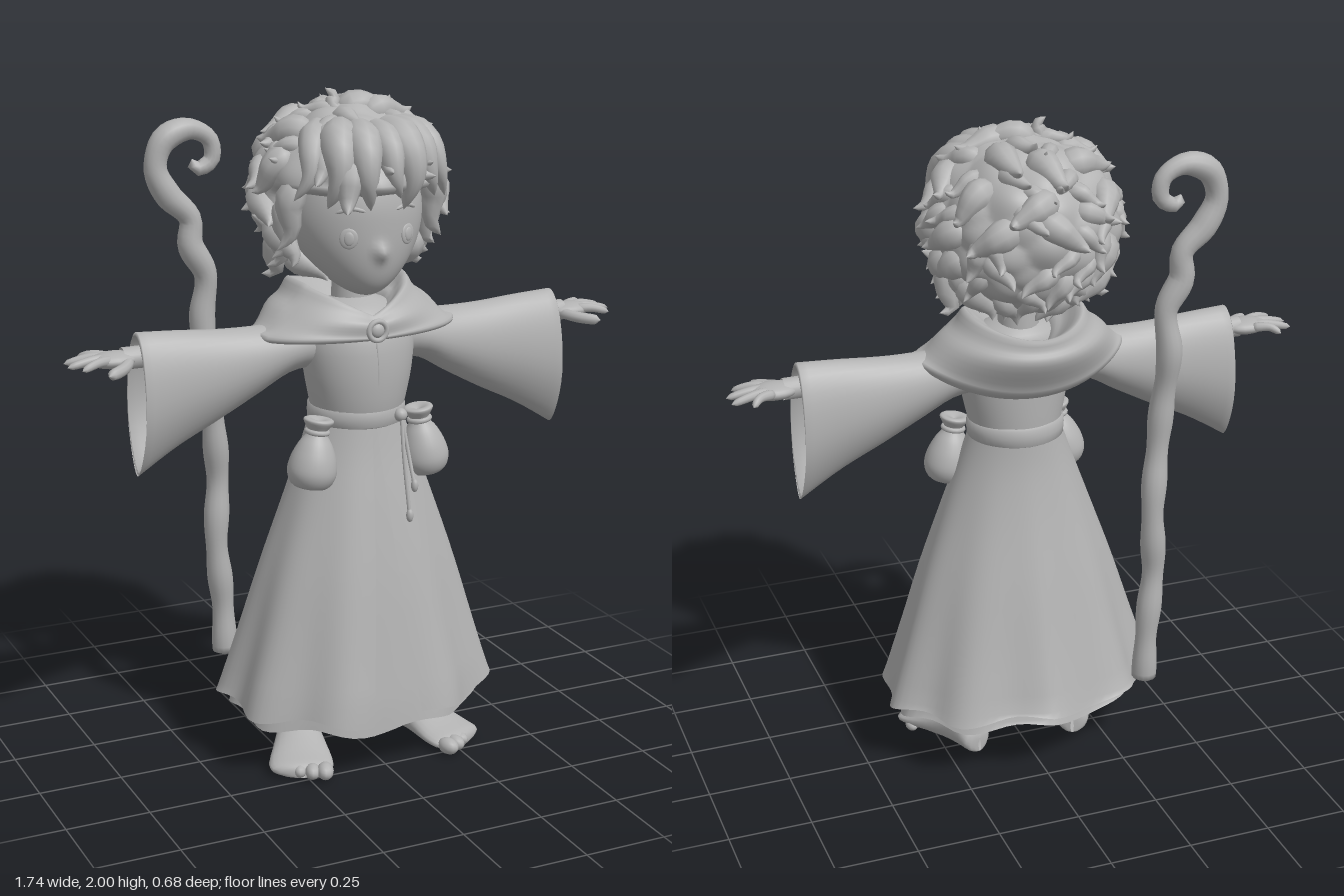
import * as THREE from 'three';

const clay = new THREE.MeshStandardMaterial({ color: 0xb2b2b2, side: THREE.DoubleSide });
clay.name = 'clay grey';
const TAU = Math.PI * 2;
const V = (x, y, z) => new THREE.Vector3(x, y, z);
const { lerp, smoothstep } = THREE.MathUtils;

function add(parent, name, geometry, pos = [0, 0, 0], scale = [1, 1, 1], rot = [0, 0, 0]) {
  const m = new THREE.Mesh(geometry, clay);
  m.name = name;
  m.position.set(...pos);
  m.scale.set(...scale);
  m.rotation.set(...rot);
  parent.add(m);
  return m;
}

// Skin a surface through rows of points, winding it outwards
function loft(rows, closed = true) {
  const n = rows[0].length, pos = [], idx = [], P = rows.flat();
  P.forEach(p => pos.push(p.x, p.y, p.z));
  const c = P.reduce((s, p) => s.add(p), V(0, 0, 0)).divideScalar(P.length);
  let vol = 0;
  const tri = (a, b, d) => {
    idx.push(a, b, d);
    vol += P[a].clone().sub(c).dot(P[b].clone().sub(c).cross(P[d].clone().sub(c)));
  };
  for (let i = 0; i < rows.length - 1; i++) {
    for (let j = 0; j < (closed ? n : n - 1); j++) {
      const k = (j + 1) % n, a = i * n + j, b = i * n + k;
      tri(a, b, a + n);
      tri(b, b + n, a + n);
    }
  }
  if (vol < 0) for (let i = 0; i < idx.length; i += 3) [idx[i], idx[i + 1]] = [idx[i + 1], idx[i]];
  const g = new THREE.BufferGeometry();
  g.setAttribute('position', new THREE.Float32BufferAttribute(pos, 3));
  g.setIndex(idx);
  g.computeVertexNormals();
  return g;
}

const ring = (n, f) => Array.from({ length: n }, (_, i) => f(i / n * TAU));

// Smoothly interpolate the rows of a table
function sample(table, steps) {
  const out = [];
  for (let i = 0; i <= steps; i++) {
    const u = i / steps * (table.length - 1), k = Math.min(Math.floor(u), table.length - 2);
    out.push(table[k].map((v, c) => {
      const p0 = table[Math.max(k - 1, 0)][c], p2 = table[k + 1][c];
      const p3 = table[Math.min(k + 2, table.length - 1)][c], t = u - k;
      return v + 0.5 * t * (p2 - p0 + t * (2 * p0 - 5 * v + 4 * p2 - p3 + t * (3 * (v - p2) + p3 - p0)));
    }));
  }
  return out;
}

// Tapered tube along a curve; radius is a function of 0..1
function taper(points, radius, steps = 10, sides = 8) {
  const curve = new THREE.CatmullRomCurve3(points);
  const fr = curve.computeFrenetFrames(steps, false);
  return loft(Array.from({ length: steps + 1 }, (_, i) => {
    const c = curve.getPointAt(i / steps), r = radius(i / steps);
    return ring(sides, a => c.clone().addScaledVector(fr.normals[i], Math.cos(a) * r)
      .addScaledVector(fr.binormals[i], Math.sin(a) * r));
  }));
}

const capped = r => t => r * Math.min(1, Math.sqrt(Math.max(0, 1 - ((t - 0.5) * 2) ** 6)));
const lock = r => t => r * Math.min(1, 0.5 + 2 * t) * Math.pow(1 - t, 0.7);

function buildRobe(g) {
  // y, half width, front z, back z
  const skirt = [[1.06, 0.135, 0.165, -0.09], [0.95, 0.175, 0.185, -0.1], [0.8, 0.23, 0.22, -0.13],
    [0.6, 0.3, 0.265, -0.18], [0.4, 0.36, 0.305, -0.23], [0.2, 0.42, 0.345, -0.285]];
  const point = (r, a, t, k, fold) => {
    const side = Math.min(a, TAU - a);
    const f = k * (1 + fold * t * t * Math.cos(9 * (side - 0.4)));
    const zc = (r[2] + r[3]) / 2, hz = (r[2] - r[3]) / 2;
    const drop = t > 0.95 ? -0.02 * Math.cos(a) + 0.012 * Math.sin(7 * a) : 0;
    return V(Math.sin(a) * r[1] * f, r[0] + drop, zc + Math.cos(a) * hz * f);
  };
  const rows = sample(skirt, 20);
  add(g, 'outerSkirt', loft(rows.map((r, i) => Array.from({ length: 89 }, (_, j) => {
    const gap = 0.04 + 0.15 * i / 20;
    return point(r, lerp(gap, TAU - gap, j / 88), i / 20, 1, 0.045);
  })), false));
  add(g, 'innerSkirt', loft(rows.map((r, i) => {
    const q = [...r];
    q[0] = lerp(1.05, 0.16, (1.06 - r[0]) / 0.86);
    return ring(72, a => point(q, a, i / 20, 0.92, 0.03));
  })));
  const torso = [[1.03, 0.13, 0.04, 0.125], [1.1, 0.145, 0.047, 0.135], [1.2, 0.165, 0.05, 0.138],
    [1.3, 0.17, 0.045, 0.13], [1.37, 0.12, 0.03, 0.1], [1.4, 0.05, 0.02, 0.05]];
  const oval = r => ring(40, a => V(Math.sin(a) * r[1], r[0], r[2] + Math.cos(a) * r[3]));
  add(g, 'torso', loft(sample(torso, 16).map(oval)));
  add(g, 'belt', loft([[1.03, 0.13, 0.04, 0.13], [1.035, 0.145, 0.04, 0.138], [1.06, 0.147, 0.04, 0.14],
    [1.085, 0.145, 0.04, 0.138], [1.09, 0.13, 0.04, 0.13]].map(oval)));
  add(g, 'frontSeam', taper([V(0, 1.3, 0.178), V(0.004, 1.2, 0.186), V(0, 1.1, 0.18)], capped(0.003)));

  // Draped hood: side x, front y, side y, back y, front z, back z
  const hood = [[0.085, 1.32, 1.37, 1.3, 0.1, -0.07], [0.12, 1.34, 1.41, 1.35, 0.13, -0.12],
    [0.165, 1.36, 1.445, 1.4, 0.15, -0.19], [0.2, 1.355, 1.42, 1.39, 0.17, -0.225],
    [0.25, 1.335, 1.365, 1.33, 0.185, -0.222], [0.3, 1.31, 1.33, 1.26, 0.187, -0.19],
    [0.32, 1.295, 1.3, 1.21, 0.18, -0.15], [0.26, 1.3, 1.29, 1.22, 0.15, -0.1]];
  add(g, 'hood', loft(sample(hood, 28).map(([x, yf, ys, yb, zf, zb], i) => ring(64, a => {
    const s = Math.abs(Math.sin(a)), c = Math.cos(a);
    const y = lerp(c > 0 ? yf : yb, ys, c > 0 ? s : s * s);
    const ripple = 0.008 * Math.sin(i * 0.9) * (c < 0.3 ? 1 : 0.3);
    return V(Math.sin(a) * x, y + ripple, (zf + zb) / 2 + c * (zf - zb) / 2 + ripple * c);
  }))));
  add(g, 'clasp', new THREE.TorusGeometry(0.028, 0.008, 10, 24), [0, 1.325, 0.186]);
  add(g, 'claspStone', new THREE.SphereGeometry(0.021, 16, 10), [0, 1.325, 0.184], [1, 1, 0.6]);
}

function buildArm(g, s) {
  // x, top y, bottom y, half depth
  const sleeve = [[0.08, 1.36, 1.2, 0.09], [0.2, 1.34, 1.19, 0.09], [0.3, 1.333, 1.135, 0.08],
    [0.42, 1.335, 1.07, 0.078], [0.55, 1.345, 1.005, 0.08], [0.67, 1.352, 0.93, 0.084]];
  const section = ([x, top, bot, hz], k = 1) => ring(36, a => {
    const c = Math.cos(a), h = (top - bot) / 2 * k;
    const narrow = c < 0 ? 1 - 0.35 * c * c * (x / 0.67) : 1;
    return V(s * (x - (k < 1 ? 0 : 0.005 * c)), (top + bot) / 2 + c * h, 0.012 + Math.sin(a) * hz * narrow * k);
  });
  const rows = sample(sleeve, 18);
  add(g, 'sleeve', loft([...rows.map(r => section(r)), ...rows.slice(9).reverse().map(r => section(r, 0.95))]));
  // Forearm, palm and fingers
  add(g, 'forearm', taper([V(s * 0.4, 1.275, 0.01), V(s * 0.6, 1.28, 0.01), V(s * 0.71, 1.28, 0.01)], () => 0.032, 6, 14));
  add(g, 'palm', new THREE.SphereGeometry(1, 20, 14), [s * 0.735, 1.28, 0.01], [0.07, 0.024, 0.05]);
  [[0.815, -0.075, -0.022], [0.868, -0.032, -0.003], [0.872, 0.018, 0.014], [0.845, 0.07, 0.03]].forEach(([x, z, z0]) =>
    add(g, 'finger', taper([V(s * 0.74, 1.283, z0), V(s * 0.79, 1.286, lerp(z0, z, 0.5)), V(s * x, 1.272, z)],
      t => capped(0.0165)(t) * (1 - 0.4 * t), 10, 10)));
  add(g, 'thumb', taper([V(s * 0.69, 1.278, 0.025), V(s * 0.73, 1.268, 0.08), V(s * 0.785, 1.262, 0.12)], capped(0.017), 10, 10));
}

function buildLeg(g, s) {
  add(g, 'leg', taper([V(s * 0.14, 0.6, 0), V(s * 0.16, 0.3, 0), V(s * 0.178, 0.14, 0), V(s * 0.18, 0.05, 0)],
    t => lerp(0.07, 0.05, t), 10, 16));
  const foot = new THREE.Group();
  foot.name = 'foot';
  foot.position.set(s * 0.178, 0, 0);
  foot.rotation.y = s * 0.36;
  g.add(foot);
  // z, half width, height
  const sole = [[-0.065, 0.005, 0.05], [-0.055, 0.045, 0.08], [-0.01, 0.058, 0.135], [0.05, 0.064, 0.125],
    [0.12, 0.08, 0.09], [0.19, 0.094, 0.06], [0.24, 0.085, 0.045], [0.257, 0.01, 0.025]];
  add(foot, 'footBody', loft(sample(sole, 20).map(([z, w, h]) => ring(24, a =>
    V(Math.cos(a) * w, Math.max(0.004, h / 2 + Math.sin(a) * h / 2), z)))));
  for (let i = 0; i < 5; i++) {
    const r = 0.028 - i * 0.0025;
    add(foot, 'toe', new THREE.SphereGeometry(r, 12, 10),
      [s * (-0.068 + i * 0.037), r * 0.9, 0.257 - 0.005 * i * i], [0.9, 0.9, 1.3]);
  }
}

function buildHead(g) {
  add(g, 'neck', new THREE.CylinderGeometry(0.055, 0.065, 0.18, 20), [0, 1.42, 0.01]);
  // Skull narrowing to a forward chin, with a small nose drawn out of the face
  const skull = new THREE.SphereGeometry(1, 72, 56), p = skull.attributes.position;
  for (let i = 0; i < p.count; i++) {
    const y = p.getY(i), low = y < 0 ? y * y : 0;
    const x = p.getX(i) * 0.2 * (1 - 0.3 * low), h = 1.65 + y * 0.235;
    const nose = p.getZ(i) > 0 ? 0.024 * Math.exp(-((x / 0.018) ** 2) - ((h - 1.555) / 0.024) ** 2) : 0;
    p.setXYZ(i, x, h, 0.02 + p.getZ(i) * 0.19 + 0.075 * low + nose);
  }
  skull.computeVertexNormals();
  add(g, 'face', skull);
  for (const s of [-1, 1]) {
    add(g, 'eye', new THREE.SphereGeometry(1, 18, 12), [s * 0.092, 1.6, 0.187], [0.027, 0.03, 0.006], [0, s * 0.45, 0]);
    add(g, 'iris', new THREE.SphereGeometry(1, 16, 10), [s * 0.093, 1.6, 0.191], [0.015, 0.02, 0.005], [0, s * 0.45, 0]);
    add(g, 'eyebrow', taper([V(s * 0.045, 1.675, 0.203), V(s * 0.085, 1.685, 0.192), V(s * 0.125, 1.672, 0.168)], capped(0.006)));
    add(g, 'ear', loft([[0.18, 0.03, 1.59], [0.22, 0.045, 1.6], [0.26, 0.025, 1.625], [0.3, 0.001, 1.65]].map(([x, h, y]) =>
      ring(12, a => V(s * x, y + Math.sin(a) * h, 0.03 - (x - 0.18) * 0.4 + Math.cos(a) * h * 0.4)))));
  }
}

function buildHair(g) {
  let seed = 7;
  const rnd = () => (seed = (seed * 16807) % 2147483647) / 2147483647;
  const C = V(0, 1.705, -0.025), R = V(0.276, 0.256, 0.292);
  const spread = (n, f) => {
    for (let i = 0; i < n; i++) {
      const y = 1 - 1.9 * (i + 0.5) / n, r = Math.sqrt(1 - y * y), a = i * 2.39996 + rnd() * 0.5;
      f(V(Math.sin(a) * r, y, Math.cos(a) * r));
    }
  };
  // Cap swelling into soft rounded clumps, tucked inside the head where the face shows
  const clumps = [];
  spread(60, d => clumps.push([d, 0.7 + 0.5 * rnd()]));
  const cap = new THREE.SphereGeometry(1, 120, 84), p = cap.attributes.position, d = V(0, 0, 0);
  for (let i = 0; i < p.count; i++) {
    d.fromBufferAttribute(p, i);
    const face = smoothstep(d.z, 0.08, 0.38) * (1 - smoothstep(d.y, -0.05, 0.15));
    const swell = clumps.reduce((m, [c, w]) => Math.max(m, w * Math.exp(-d.distanceToSquared(c) / 0.06)), 0);
    const k = (0.925 + 0.085 * swell) * (1 - 0.5 * face);
    p.setXYZ(i, C.x + d.x * R.x * k, C.y + d.y * R.y * k, C.z + d.z * R.z * k);
  }
  cap.computeVertexNormals();
  add(g, 'hairCap', cap);
  // Curls swirling over the cap: some broad, most small with tips flicking outwards
  let n = 0;
  spread(110, dir => {
    const [j0, j1, j2] = [rnd(), rnd(), rnd()];
    if (dir.z > 0.2 && dir.y < 0.3) return;
    const broad = n++ % 3 === 0, len = broad ? 1 : 0.7;
    const around = V(dir.z, 0, -dir.x).normalize();
    const flow = V(0, -1, 0).addScaledVector(dir, dir.y).normalize().multiplyScalar(0.8)
      .addScaledVector(around, (j0 - 0.5) * 3).normalize();
    const at = (along, k) => dir.clone().addScaledVector(flow, along * len).normalize().multiply(R).multiplyScalar(k).add(C);
    add(g, 'hairCurl', taper([at(-0.18, 0.82), at(0, 0.95), at(0.2, 0.98), at(0.33, 1.03), at(0.32 + 0.1 * j1, 1.09 + 0.06 * j2)],
      lock(broad ? 0.06 : 0.034 + 0.012 * j1), 10, 10));
  });
  // Fringe parting over the forehead and locks beside the cheeks
  [[-0.2, 0.055, 1.71, -0.04], [-0.13, 0.075, 1.69, -0.03], [-0.06, 0.07, 1.68, 0.02], [0.02, 0.06, 1.71, 0.03],
    [0.085, 0.075, 1.675, -0.02], [0.15, 0.065, 1.7, 0.03], [0.205, 0.055, 1.69, 0.03]].forEach(([x, r, y, lean]) => {
    const z = 0.25 - 2.2 * x * x;
    add(g, 'fringe', taper([V(x * 0.6, 1.9, z - 0.12), V(x * 0.9, 1.85, z - 0.03), V(x, 1.775, z),
      V(x + lean, y, z - 0.02)], lock(r), 12, 12));
  });
  for (const s of [-1, 1]) for (let i = 0; i < 4; i++)
    add(g, 'sideLock', taper([V(s * 0.2, 1.76 - i * 0.05, 0.09 - i * 0.03), V(s * 0.228, 1.69 - i * 0.05, 0.08 - i * 0.035),
      V(s * 0.22, 1.61 - i * 0.045, 0.08 - i * 0.04), V(s * 0.26, 1.56 - i * 0.03, 0.07 - i * 0.04)], lock(0.055), 8, 9));
  add(g, 'topCurl', taper([V(-0.03, 1.92, 0), V(-0.06, 1.95, 0), V(-0.05, 1.975, 0), V(-0.075, 1.998, -0.01)], lock(0.035), 8, 9));
}

function buildGear(g) {
  // Belt pouches
  const bag = [[0, 0], [0.05, 0.004], [0.072, 0.04], [0.068, 0.085], [0.05, 0.13], [0.03, 0.16], [0.028, 0.172], [0.045, 0.2], [0.03, 0.207], [0, 0.195]];
  const profile = new THREE.SplineCurve(bag.map(q => new THREE.Vector2(...q))).getPoints(36).map(q => q.setX(Math.max(q.x, 0)));
  for (const s of [-1, 1]) {
    const pouch = new THREE.Group();
    pouch.name = 'pouch';
    pouch.position.set(s * 0.19, 0.865, 0.128);
    pouch.rotation.z = s * 0.15;
    g.add(pouch);
    add(pouch, 'pouchBody', new THREE.LatheGeometry(profile, 28));
    add(pouch, 'pouchTie', new THREE.TorusGeometry(0.03, 0.008, 8, 20), [0, 0.167, 0], [1, 1, 1], [Math.PI / 2, 0, 0]);
  }
  // Belt cord with knotted ends
  add(g, 'cordKnot', new THREE.SphereGeometry(0.02, 14, 10), [0.085, 1.06, 0.165]);
  [[0.085, 0.77], [0.1, 0.86]].forEach(([x, y]) => {
    add(g, 'cord', taper([V(0.085, 1.06, 0.172), V(x - 0.005, 0.95, 0.198), V(x, y, 0.23)], () => 0.006));
    add(g, 'cordEnd', new THREE.SphereGeometry(0.011, 10, 8), [x, y, 0.23], [1, 1.8, 1]);
  });
  // Crooked walking staff
  const path = [[-0.33, 0.24], [-0.335, 0.42], [-0.355, 0.62], [-0.345, 0.82], [-0.36, 0.98], [-0.375, 1.15], [-0.385, 1.32],
    [-0.375, 1.45], [-0.42, 1.54], [-0.42, 1.62], [-0.485, 1.69], [-0.522, 1.77], [-0.495, 1.85], [-0.42, 1.878],
    [-0.355, 1.845], [-0.35, 1.785], [-0.395, 1.762], [-0.41, 1.79]];
  add(g, 'staff', taper(path.map(([x, y], i) => V(x, y, y < 0.5 ? -0.21 : -0.198 + (y < 1.4 ? 0.012 * Math.sin(i * 1.7) : 0))),
    t => (0.036 + 0.003 * Math.sin(t * 60)) * (t > 0.85 ? lerp(1, 0.5, (t - 0.85) / 0.15) : 1) * (t === 0 || t === 1 ? 0.05 : 1), 110, 14));
}

export function createModel() {
  const model = new THREE.Group();
  model.name = 'robedTraveller';
  const part = (name, build, ...args) => {
    const g = new THREE.Group();
    g.name = name;
    build(g, ...args);
    model.add(g);
  };
  part('robe', buildRobe);
  part('head', buildHead);
  part('hair', buildHair);
  part('gear', buildGear);
  for (const [side, s] of [['left', 1], ['right', -1]]) {
    part(side + 'Arm', buildArm, s);
    part(side + 'Leg', buildLeg, s);
  }
  return model;
}
